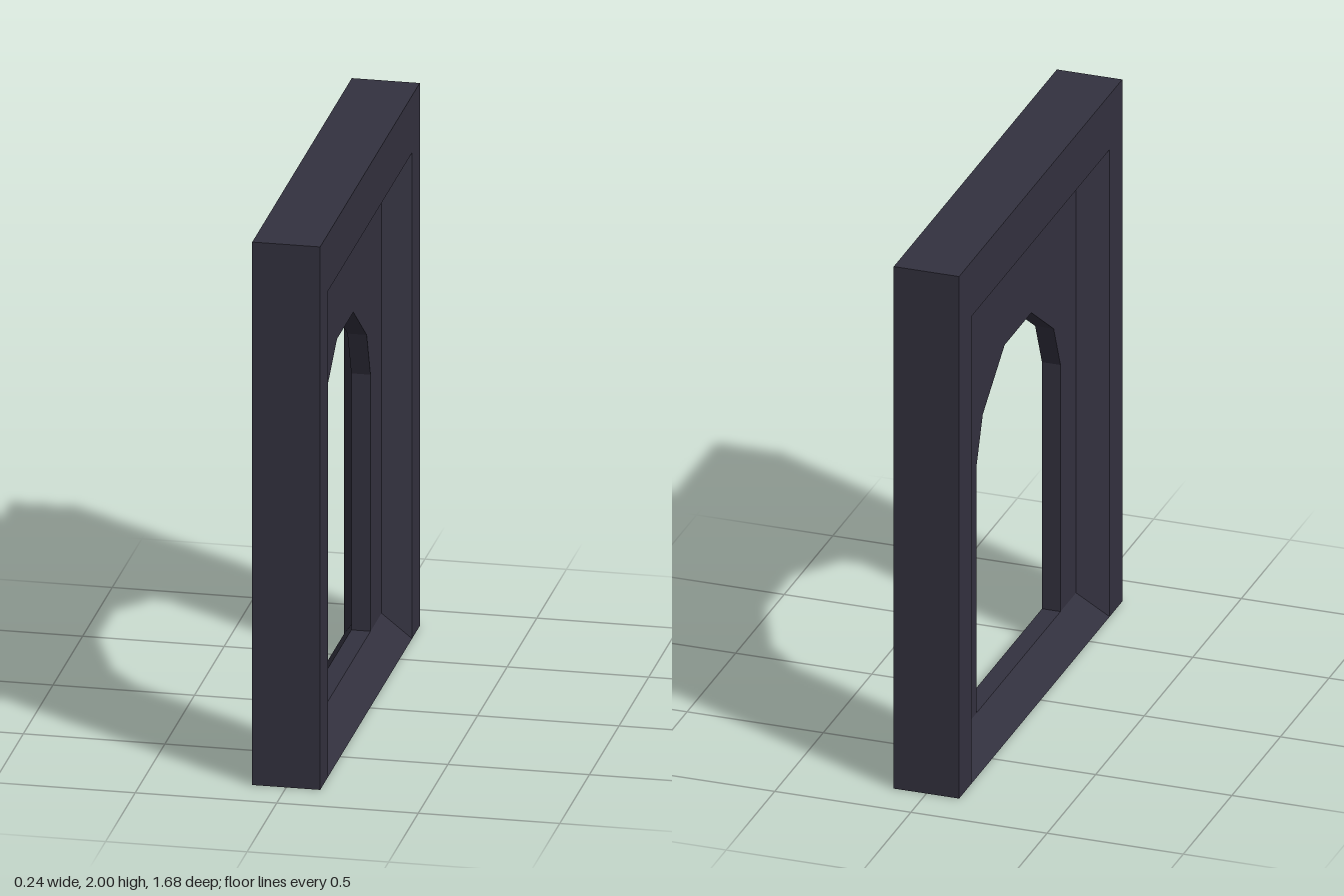
import * as THREE from 'three';

export function createModel() {
  const group = new THREE.Group();
  group.name = 'archedDoorway';
  const stone = new THREE.MeshStandardMaterial({ color: 0x33313f });
  stone.name = 'darkStone';

  const HALF = 0.12;   // half the frame thickness
  const PANEL = 0.034; // half the panel thickness
  const SILL = 0.125;

  // Four corners of a rectangle, counter-clockwise, at depth z
  const rect = (w, y0, y1, z) => [[-w, y0, z], [w, y0, z], [w, y1, z], [-w, y1, z]];

  // Frame: a closed ring of rectangles, from the face in along the bevel and out again
  const loops = [
    rect(0.84, 0, 2, HALF),
    rect(0.71, 0, 1.79, HALF),
    rect(0.605, SILL, 1.675, PANEL),
    rect(0.605, SILL, 1.675, -PANEL),
    rect(0.71, 0, 1.79, -HALF),
    rect(0.84, 0, 2, -HALF),
  ];
  const points = [];
  loops.forEach((a, i) => {
    const b = loops[(i + 1) % loops.length];
    for (let k = 0; k < 4; k++) {
      const n = (k + 1) % 4;
      // The frame has no lower rail on its faces
      if (k === 0 && a[0][1] === b[0][1] && a[0][2] === b[0][2]) continue;
      points.push(...a[k], ...a[n], ...b[n], ...a[k], ...b[n], ...b[k]);
    }
  });
  const frameGeometry = new THREE.BufferGeometry();
  frameGeometry.setAttribute('position', new THREE.Float32BufferAttribute(points, 3));
  frameGeometry.computeVertexNormals();
  const frame = new THREE.Mesh(frameGeometry, stone);
  frame.name = 'bevelledFrame';

  // Recessed panel with the faceted arch cut out of it
  const outline = [
    [-0.605, SILL], [-0.445, SILL], [-0.445, 1.07], [-0.375, 1.24], [-0.145, 1.405],
    [0.13, 1.405], [0.355, 1.24], [0.42, 1.07], [0.42, SILL],
    [0.605, SILL], [0.605, 1.675], [-0.605, 1.675],
  ].map(([x, y]) => new THREE.Vector2(x, y));
  const panelGeometry = new THREE.ExtrudeGeometry(new THREE.Shape(outline), {
    depth: 2 * PANEL, bevelEnabled: false,
  });
  panelGeometry.translate(0, 0, -PANEL);
  const panel = new THREE.Mesh(panelGeometry, stone);
  panel.name = 'archPanel';

  // Turn the wall so that its faces look along x
  const wall = new THREE.Group();
  wall.name = 'wall';
  wall.rotation.y = Math.PI / 2;
  wall.add(frame, panel);
  group.add(wall);
  return group;
}
